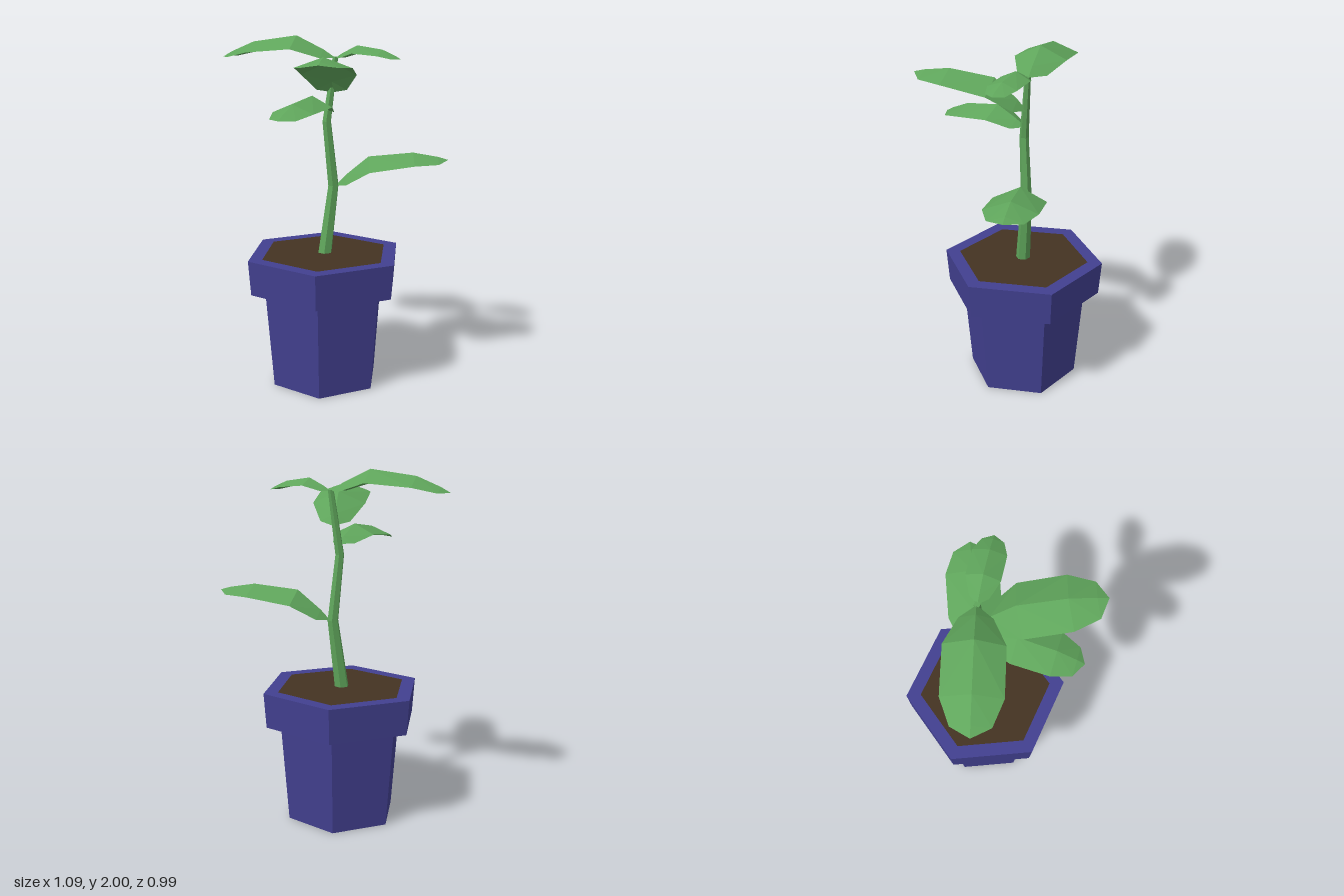
import * as THREE from 'three';

const CX = -0.085, CZ = -0.042; // pot axis

// Facet a geometry: one normal per face
function flat(geometry) {
  const g = geometry.index ? geometry.toNonIndexed() : geometry;
  g.computeVertexNormals();
  return g;
}

// Leaf stations: distance along, half width, midrib height, drop of the edge
const STATIONS = [
  [0, 0, 0, 0],
  [0.068, 0.084, 0.045, 0.045],
  [0.222, 0.15, 0.12, 0.07],
  [0.472, 0.15, 0.085, 0.055],
  [0.602, 0.098, 0.03, 0.03],
  [0.655, 0, 0, 0],
];

// Arched, ridged leaf growing along +z from the origin
function leafGeometry() {
  const pts = [];
  const rib = ([d, , h]) => [0, h, d];
  const edge = ([d, w, h, drop], s) => [s * w, h - drop, d];
  for (let i = 0; i < STATIONS.length - 1; i++) {
    const a = STATIONS[i], b = STATIONS[i + 1];
    for (const s of [1, -1]) {
      const tris = [];
      if (b[1] > 0) tris.push([rib(a), rib(b), edge(b, s)]);
      else tris.push([rib(a), rib(b), edge(a, s)]);
      if (a[1] > 0 && b[1] > 0) tris.push([rib(a), edge(b, s), edge(a, s)]);
      for (const t of tris) pts.push(...(s > 0 ? t : t.reverse()).flat());
    }
  }
  const g = new THREE.BufferGeometry();
  g.setAttribute('position', new THREE.Float32BufferAttribute(pts, 3));
  return flat(g);
}

// Bent, tapering six-sided stem: rows of a cylinder moved onto a path
function stemGeometry() {
  const rows = [ // x, y, radius, from the top down
    [-0.016, 1.885, 0.017],
    [-0.07, 1.53, 0.026],
    [-0.03, 1.16, 0.032],
    [CX, 0.765, 0.042],
  ];
  const g = new THREE.CylinderGeometry(1, 1, 1, 6, 3, false, Math.PI / 2);
  const p = g.attributes.position;
  for (let i = 0; i < p.count; i++) {
    const [x, y, r] = rows[Math.round((0.5 - p.getY(i)) * 3)];
    p.setXYZ(i, x + p.getX(i) * r, y, CZ + p.getZ(i) * r);
  }
  return flat(g);
}

export function createModel() {
  const potBlue = new THREE.MeshStandardMaterial({ color: 0x424090 });
  potBlue.name = 'potBlue';
  const soilBrown = new THREE.MeshStandardMaterial({ color: 0x443322 });
  soilBrown.name = 'soilBrown';
  const plantGreen = new THREE.MeshStandardMaterial({ color: 0x5fa55b, side: THREE.DoubleSide });
  plantGreen.name = 'plantGreen';

  const model = new THREE.Group();
  model.name = 'pottedPlant';
  const add = (name, geometry, material) => {
    const mesh = new THREE.Mesh(geometry, material);
    mesh.name = name;
    model.add(mesh);
    return mesh;
  };

  // Hexagonal pot with an overhanging rim
  const profile = [[0, 0], [0.325, 0], [0.37, 0.57], [0.455, 0.57], [0.47, 0.77], [0.385, 0.77]]
    .map(([r, y]) => new THREE.Vector2(r, y));
  add('pot', flat(new THREE.LatheGeometry(profile, 6, Math.PI / 2)), potBlue).position.set(CX, 0, CZ);

  // Soil level with the rim
  const soil = new THREE.CircleGeometry(0.385, 6).rotateX(-Math.PI / 2);
  add('soil', flat(soil), soilBrown).position.set(CX, 0.77, CZ);

  add('stem', stemGeometry(), plantGreen);

  // Leaves: base point, horizontal direction, upward pitch, scale
  const leaf = leafGeometry();
  const leaves = [
    ['topBackLeaf', [-0.015, 1.88, -0.045], [-0.52, -0.4], 0, 1],
    ['topFrontLeaf', [-0.015, 1.88, -0.04], [0.255, 0.28], 0, 0.58],
    ['upperFrontLeaf', [-0.03, 1.69, -0.045], [-0.32, 0.54], 0.29, 1],
    ['middleSideLeaf', [-0.06, 1.59, -0.045], [-0.425, 0.33], 0, 0.82],
    ['lowerSideLeaf', [-0.015, 1.16, -0.04], [0.56, 0.335], 0.245, 1],
  ];
  for (const [name, base, [dx, dz], pitch, scale] of leaves) {
    const mesh = add(name, leaf, plantGreen);
    mesh.position.set(...base);
    mesh.rotation.set(-pitch, Math.atan2(dx, dz), 0, 'YXZ');
    mesh.scale.setScalar(scale);
  }
  return model;
}
